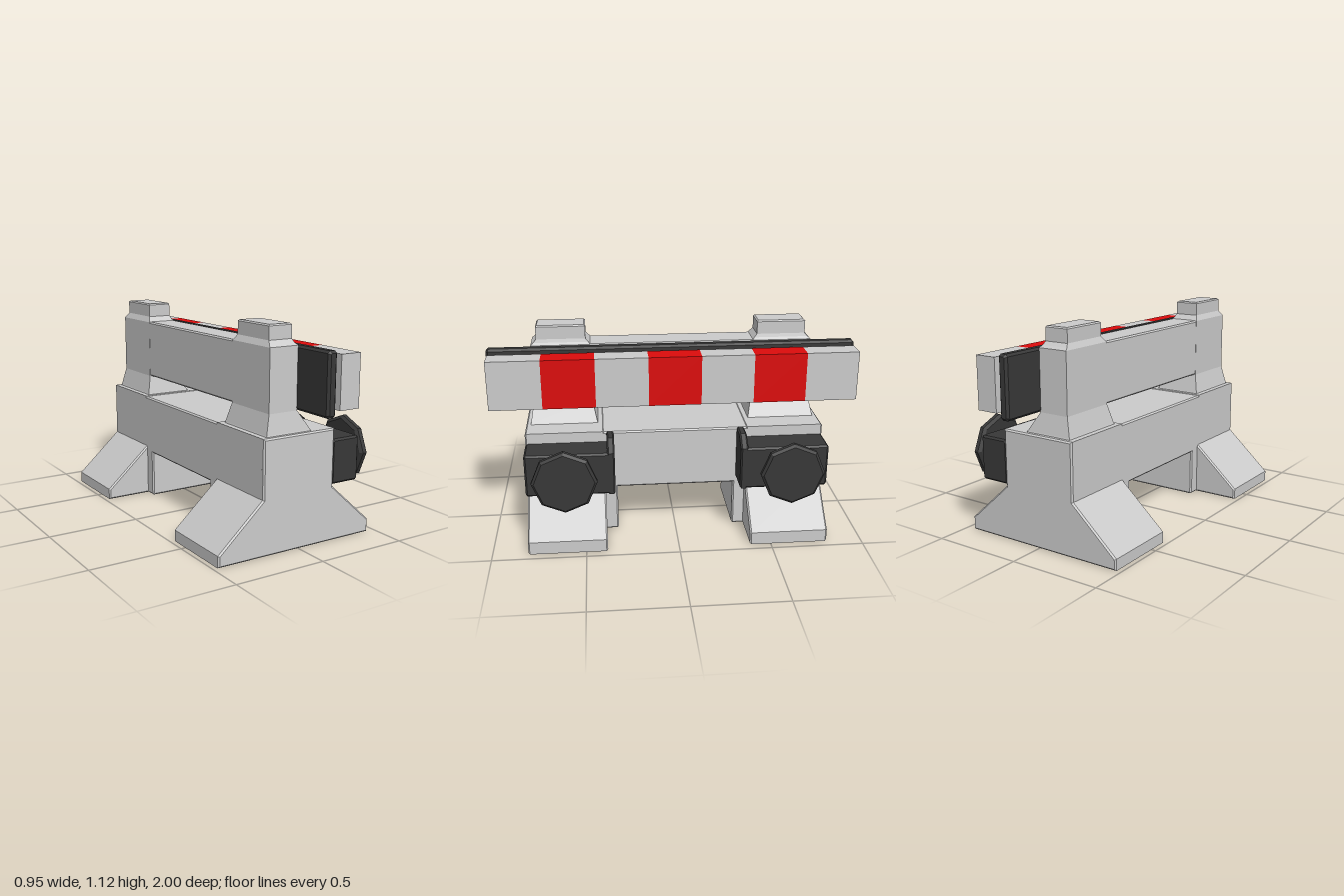
import * as THREE from 'three';

const material = (color) => new THREE.MeshStandardMaterial({ color, flatShading: true });

// Extrude an x/y outline from z0 to z1 with a small chamfer kept inside the outline
function prism(points, z0, z1, bevel) {
  const shape = new THREE.Shape(points.map(([x, y]) => new THREE.Vector2(x, y)));
  const geometry = new THREE.ExtrudeGeometry(shape, {
    depth: z1 - z0 - 2 * bevel, bevelEnabled: true, bevelThickness: bevel,
    bevelSize: bevel, bevelOffset: -bevel, bevelSegments: 1,
  });
  return geometry.translate(0, 0, z0 + bevel);
}

// Stack rectangular sections [y, x0, x1, z0, z1] from the bottom up
function loft(sections) {
  const positions = [], index = [];
  for (const [y, x0, x1, z0, z1] of sections) {
    positions.push(x0, y, z0, x0, y, z1, x1, y, z1, x1, y, z0);
  }
  for (let s = 0; s < sections.length - 1; s++) {
    for (let i = 0; i < 4; i++) {
      const a = s * 4 + i, b = s * 4 + (i + 1) % 4;
      index.push(a, b, b + 4, a, b + 4, a + 4);
    }
  }
  const t = (sections.length - 1) * 4;
  index.push(0, 2, 1, 0, 3, 2, t, t + 1, t + 2, t, t + 2, t + 3);
  const geometry = new THREE.BufferGeometry();
  geometry.setAttribute('position', new THREE.Float32BufferAttribute(positions, 3));
  geometry.setIndex(index);
  const flat = geometry.toNonIndexed();
  flat.computeVertexNormals();
  return flat;
}

// Box with all twelve edges chamfered
function chamferBox(x0, x1, y0, y1, z0, z1, b) {
  return prism([
    [x0 + b, y0], [x1 - b, y0], [x1, y0 + b], [x1, y1 - b],
    [x1 - b, y1], [x0 + b, y1], [x0, y1 - b], [x0, y0 + b],
  ], z0, z1, b);
}

export function createModel() {
  const model = new THREE.Group();
  const grey = material(0xcccccc);
  const dark = material(0x383838);
  const red = material(0xdd0c0c);

  function add(name, geometry, mat, parent = model) {
    const mesh = new THREE.Mesh(geometry, mat);
    mesh.name = name;
    parent.add(mesh);
    return mesh;
  }

  // Lower beam joining the two feet, and the upper rail
  add('lowerBeam', chamferBox(-0.22, 0.21, 0.26, 0.59, -0.8, 0.8, 0.008), grey);
  add('upperRail', chamferBox(-0.162, 0.004, 0.7, 1.022, -0.765, 0.765, 0.008), grey);

  // Splayed foot outline
  const footOutline = [
    [-0.475, 0], [0.455, 0], [0.455, 0.07], [0.21, 0.29],
    [0.21, 0.593], [-0.22, 0.593], [-0.22, 0.29], [-0.475, 0.06],
  ];
  // Clamp flange outline with a sloped outer corner
  const flangeOutline = [[0.205, 0.3], [0.372, 0.3], [0.372, 0.535], [0.3, 0.593], [0.205, 0.593]];

  for (const side of [1, -1]) {
    const end = new THREE.Group();
    end.name = side > 0 ? 'frontEnd' : 'rearEnd';
    model.add(end);
    const span = (a, b) => (side > 0 ? [a, b] : [-b, -a]);

    add('foot', prism(footOutline, ...span(0.385, 0.81), 0.008), grey, end);
    add('footCore', chamferBox(-0.22, 0.21, 0, 0.5, ...span(0.32, 0.6), 0.008), grey, end);

    // Post flares out to the beam and steps in to a cap
    add('post', loft([
      [0.585, -0.192, 0.085, ...span(0.415, 0.787)],
      [0.6, -0.187, 0.075, ...span(0.42, 0.783)],
      [0.7, -0.163, 0.004, ...span(0.445, 0.766)],
      [1.02, -0.163, 0.004, ...span(0.445, 0.766)],
      [1.032, -0.157, -0.008, ...span(0.455, 0.752)],
      [1.05, -0.148, -0.014, ...span(0.47, 0.736)],
      [1.118, -0.148, -0.014, ...span(0.47, 0.736)],
      [1.125, -0.141, -0.021, ...span(0.477, 0.729)],
    ]), grey, end);

    // Clamp body and its taller inner flange
    add('clampBody', chamferBox(0.2, 0.372, 0.3, 0.535, ...span(0.345, 0.81), 0.01), dark, end);
    add('clampFlange', prism(flangeOutline, ...span(0.335, 0.375), 0.008), dark, end);

    // Eight-sided knob on a round shaft, turned about x
    const shaft = new THREE.CylinderGeometry(0.063, 0.063, 0.09, 16);
    shaft.rotateZ(-Math.PI / 2).translate(0.4, 0.42, side * 0.6);
    add('knobShaft', shaft, dark, end);
    const profile = [[0, 0], [0.155, 0], [0.172, 0.012], [0.172, 0.034], [0.158, 0.046], [0, 0.046]];
    const knob = new THREE.LatheGeometry(profile.map(([r, y]) => new THREE.Vector2(r, y)), 8);
    knob.rotateZ(-Math.PI / 2).translate(0.429, 0.42, side * 0.6);
    add('knob', knob, dark, end);
  }

  // Dark backing strip
  add('backingStrip', chamferBox(0.002, 0.055, 0.7, 1.02, -1, 1, 0.012), dark);

  // Striped bar in seven equal blocks
  const bar = new THREE.Group();
  bar.name = 'stripedBar';
  model.add(bar);
  const length = 1.98 / 7;
  for (let i = 0; i < 7; i++) {
    const block = new THREE.BoxGeometry(0.116, 0.27, length);
    block.translate(0.142, 0.864, (i - 3) * length);
    add(i % 2 ? 'redBlock' : 'paleBlock', block, i % 2 ? red : grey, bar);
  }

  return model;
}
